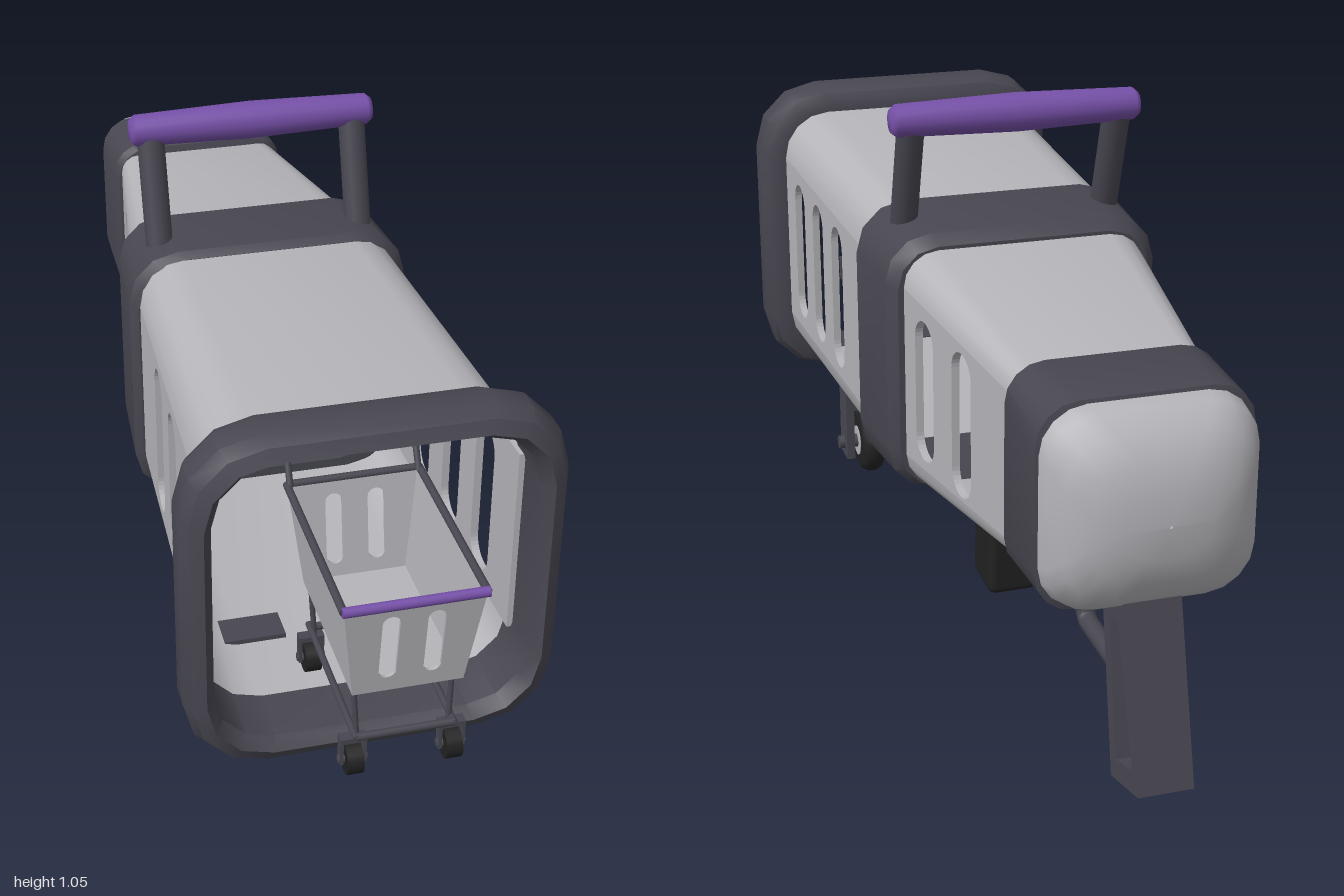
import * as THREE from 'three';
import { toCreasedNormals } from 'three/addons/utils/BufferGeometryUtils.js';
import { RoundedBoxGeometry } from 'three/addons/geometries/RoundedBoxGeometry.js';

const material = (name, color, side = THREE.FrontSide) => {
  const m = new THREE.MeshStandardMaterial({ color, side });
  m.name = name;
  return m;
};

export function createModel() {
  const model = new THREE.Group();
  model.name = 'cartLauncher';
  const light = material('lightGrey', 0xb5b5ba, THREE.DoubleSide);
  const dark = material('darkGrey', 0x484751, THREE.DoubleSide);
  const black = material('black', 0x222222);
  const purple = material('purple', 0x7650a8);

  const add = (name, geometry, mat, parent = model) => {
    const mesh = new THREE.Mesh(geometry, mat);
    mesh.name = name;
    parent.add(mesh);
    return mesh;
  };

  const box = (name, w, h, d, x, y, z, mat, parent) => {
    const m = add(name, new THREE.BoxGeometry(w, h, d), mat, parent);
    m.position.set(x, y, z);
    return m;
  };

  // Round bar between two points
  const rod = (name, a, b, r, mat, parent, sides = 12) => {
    const from = new THREE.Vector3(...a), to = new THREE.Vector3(...b);
    const dir = to.clone().sub(from);
    const m = add(name, new THREE.CylinderGeometry(r, r, dir.length(), sides), mat, parent);
    m.position.copy(from).add(to).multiplyScalar(0.5);
    m.quaternion.setFromUnitVectors(new THREE.Vector3(0, 1, 0), dir.normalize());
    return m;
  };

  // Rounded rectangle sections [z, halfWidth, bottom, top, radius], joined front to back
  const loft = (sections, { n = 4, wrap = false, openSides = false, crease = 0.6 } = {}) => {
    const pos = [], index = [], ring = 4 * (n + 1);
    for (const [z, hw, y0, y1, r] of sections) {
      for (let k = 0; k < 4; k++) {
        const cx = (k === 0 || k === 3 ? 1 : -1) * (hw - r);
        const cy = k < 2 ? y1 - r : y0 + r;
        for (let i = 0; i <= n; i++) {
          const a = (k + i / n) * Math.PI / 2;
          pos.push(cx + r * Math.cos(a), cy + r * Math.sin(a), z);
        }
      }
    }
    const count = sections.length;
    for (let i = 0; i < (wrap ? count : count - 1); i++) {
      for (let j = 0; j < ring; j++) {
        if (openSides && (j === 2 * n + 1 || j === ring - 1)) continue;
        const i2 = (i + 1) % count, j2 = (j + 1) % ring;
        const a = i * ring + j, b = i * ring + j2, c = i2 * ring + j2, d = i2 * ring + j;
        index.push(a, d, c, a, c, b);
      }
    }
    const g = new THREE.BufferGeometry();
    g.setAttribute('position', new THREE.Float32BufferAttribute(pos, 3));
    g.setIndex(index);
    return toCreasedNormals(g, crease);
  };

  // Plate with rounded slots [u, v0, v1, width]; place() sets it into space
  const slotted = (corners, slots, thickness, place) => {
    const shape = new THREE.Shape(corners.map(([u, v]) => new THREE.Vector2(u, v)));
    for (const [u, v0, v1, w] of slots) {
      const r = w / 2, hole = new THREE.Path();
      hole.absarc(u, v1 - r, r, 0, Math.PI, false);
      hole.absarc(u, v0 + r, r, Math.PI, Math.PI * 2, false);
      hole.closePath();
      shape.holes.push(hole);
    }
    const g = new THREE.ExtrudeGeometry(shape, { depth: thickness, bevelEnabled: false, curveSegments: 8 });
    const p = g.attributes.position;
    for (let i = 0; i < p.count; i++) p.setXYZ(i, ...place(p.getX(i), p.getY(i), p.getZ(i)));
    g.computeVertexNormals();
    return g;
  };

  // Hollow barrel section: rounded top and bottom, slotted flat sides
  const barrel = (name, f, b, slots) => {
    add(name, loft([f, b], { openSides: true }), light);
    const corners = [[f[0], f[2] + f[4]], [f[0], f[3] - f[4]], [b[0], b[3] - b[4]], [b[0], b[2] + b[4]]];
    for (const s of [1, -1]) {
      add(name + 'Side', slotted(corners, slots, 0.015, (u, v, w) => {
        const t = (u - f[0]) / (b[0] - f[0]);
        return [s * (f[1] + (b[1] - f[1]) * t - 0.015 + w), v, u];
      }), light);
    }
  };
  barrel('frontBarrel', [0.7, 0.287, 0.26, 0.832, 0.1], [-0.03, 0.26, 0.283, 0.808, 0.09],
    [0.55, 0.39, 0.23].map(z => [z, 0.39, 0.7, 0.087]));
  barrel('rearBarrel', [-0.18, 0.243, 0.302, 0.788, 0.07], [-0.7, 0.175, 0.37, 0.718, 0.038],
    [-0.31, -0.48].map(z => [z, 0.4, 0.68, 0.085]));

  // Muzzle rim and middle collar, both hollow
  const rim = (z, d) => [z, 0.337 - d, 0.208 + d, 0.882 - d, 0.14 - d * 0.6];
  add('muzzleRim', loft([rim(0.8, 0.035), rim(0.787, 0.012), rim(0.76, 0), rim(0.71, 0), rim(0.683, 0.012),
    rim(0.67, 0.035), rim(0.67, 0.055), rim(0.775, 0.052)], { n: 3, wrap: true }), dark);
  add('middleCollar', loft([[0.01, 0.265, 0.283, 0.81, 0.1], [-0.005, 0.28, 0.27, 0.822, 0.1],
    [-0.19, 0.268, 0.288, 0.81, 0.09], [-0.215, 0.25, 0.3, 0.79, 0.08],
    [-0.215, 0.236, 0.308, 0.78, 0.075], [0.01, 0.24, 0.302, 0.785, 0.09]], { n: 3, wrap: true }), dark);

  // Black bulkhead closing the barrel
  add('bulkhead', loft([[-0.528, 0.001, 0.544, 0.546, 0.0005], [-0.529, 0.193, 0.352, 0.738, 0.045],
    [-0.535, 0.193, 0.352, 0.738, 0.045], [-0.536, 0.001, 0.544, 0.546, 0.0005]]), black);

  // Rear collar and domed end cap
  add('rearCollar', loft([[-0.68, 0.165, 0.375, 0.72, 0.06], [-0.685, 0.183, 0.36, 0.735, 0.07],
    [-0.7, 0.191, 0.352, 0.742, 0.07], [-0.865, 0.191, 0.36, 0.735, 0.075], [-0.872, 0.17, 0.38, 0.715, 0.07]]), dark);
  add('endCap', loft([[-0.86, 0.186, 0.364, 0.73, 0.08], [-0.9, 0.183, 0.375, 0.724, 0.085],
    [-0.935, 0.162, 0.402, 0.698, 0.085], [-0.962, 0.125, 0.442, 0.655, 0.08],
    [-0.977, 0.075, 0.49, 0.605, 0.055], [-0.981, 0.002, 0.547, 0.551, 0.001]], { crease: 1 }), light);

  // Top carry handle
  const barProfile = [[0, -0.245], [0.022, -0.243], [0.031, -0.232], [0.037, 0], [0.031, 0.232], [0.022, 0.243], [0, 0.245]];
  const bar = add('handleBar', new THREE.LatheGeometry(barProfile.map(p => new THREE.Vector2(...p)), 20), purple);
  bar.rotation.z = Math.PI / 2;
  bar.position.set(0, 1.02, -0.15);
  for (const s of [1, -1]) rod('handlePost', [s * 0.203, 0.78, -0.075], [s * 0.203, 1.01, -0.147], 0.027, dark);

  // Black foregrip under the collar
  const foregrip = add('foregrip', new RoundedBoxGeometry(0.106, 0.3, 0.122, 2, 0.018), black);
  foregrip.position.set(0, 0.155, -0.1);
  foregrip.rotation.x = -0.07;

  // Open-framed rear grip
  const points = list => list.map(([u, v]) => new THREE.Vector2(u, v));
  const gripShape = new THREE.Shape(points([[-0.805, 0.37], [-0.915, 0.385], [-0.999, 0.066], [-0.87, 0.03]]));
  gripShape.holes.push(new THREE.Path(points([[-0.845, 0.322], [-0.885, 0.335], [-0.968, 0.1], [-0.892, 0.075]])));
  const grip = add('rearGrip', new THREE.ExtrudeGeometry(gripShape, { depth: 0.1, bevelEnabled: false }), dark);
  grip.rotation.y = -Math.PI / 2;
  grip.position.x = 0.05;

  // Trigger guard and trigger
  const guard = new THREE.CurvePath();
  const v3 = (y, z) => new THREE.Vector3(0, y, z);
  guard.add(new THREE.LineCurve3(v3(0.38, -0.585), v3(0.205, -0.585)));
  guard.add(new THREE.QuadraticBezierCurve3(v3(0.205, -0.585), v3(0.178, -0.585), v3(0.178, -0.615)));
  guard.add(new THREE.LineCurve3(v3(0.178, -0.615), v3(0.178, -0.86)));
  add('triggerGuard', new THREE.TubeGeometry(guard, 40, 0.018, 10), dark);
  box('trigger', 0.03, 0.13, 0.02, 0, 0.325, -0.685, light);

  // Road wheels in forks
  const tyreProfile = [[0, -0.026], [0.055, -0.026], [0.067, -0.02], [0.073, -0.009],
    [0.073, 0.009], [0.067, 0.02], [0.055, 0.026], [0, 0.026]];
  for (const s of [1, -1]) {
    const caster = new THREE.Group();
    caster.name = 'wheelAssembly';
    caster.position.set(s * 0.152, 0, 0.488);
    model.add(caster);
    const tyre = add('tyre', new THREE.LatheGeometry(points(tyreProfile), 28), black, caster);
    tyre.rotation.z = Math.PI / 2;
    tyre.position.y = 0.098;
    rod('hub', [-0.028, 0.098, 0], [0.028, 0.098, 0], 0.034, light, caster, 20);
    rod('axle', [-0.07, 0.098, 0], [0.07, 0.098, 0], 0.015, dark, caster);
    box('forkTop', 0.116, 0.09, 0.066, 0, 0.23, 0, dark, caster);
    for (const e of [1, -1]) box('forkLeg', 0.018, 0.125, 0.066, e * 0.049, 0.13, 0, dark, caster);
  }

  // Shopping cart in the muzzle
  const cart = new THREE.Group();
  cart.name = 'shoppingCart';
  model.add(cart);
  const Y0 = 0.49, Y1 = 0.68;
  const level = y => (y - Y0) / (Y1 - Y0);
  const halfWidth = y => 0.095 + 0.024 * level(y);
  for (const s of [1, -1]) {
    add('basketSide', slotted([[0.65, Y0], [0.965, Y0], [0.988, Y1], [0.62, Y1]],
      [0.905, 0.845, 0.785, 0.725].map(z => [z, 0.505, 0.645, 0.034]), 0.006,
      (u, v, w) => [s * (halfWidth(v) - w), v, u]), light, cart);
    const endZ = y => s > 0 ? 0.965 + 0.023 * level(y) : 0.65 - 0.03 * level(y);
    add(s > 0 ? 'basketFront' : 'basketBack', slotted([[-0.095, Y0], [0.095, Y0], [0.119, Y1], [-0.119, Y1]],
      [-0.038, 0.038].map(x => [x, 0.52, 0.655, 0.03]), 0.006,
      (u, v, w) => [u, v, endZ(v) - s * w]), light, cart);
    // Rim, handle arms and undercarriage
    rod('basketRim', [s * 0.119, Y1, 0.988], [s * 0.119, Y1, 0.62], 0.007, dark, cart);
    rod('cartHandleArm', [s * 0.115, Y1, 0.63], [s * 0.115, 0.732, 0.6], 0.006, dark, cart);
    rod('sideRail', [s * 0.085, 0.395, 0.965], [s * 0.085, 0.395, 0.65], 0.006, dark, cart);
    for (const z of [0.945, 0.67]) {
      rod('strut', [s * 0.085, Y0, z - 0.008], [s * 0.08, 0.39, z], 0.005, dark, cart);
      rod('casterWheel', [s * 0.086 - 0.014, 0.34, z], [s * 0.086 + 0.014, 0.34, z], 0.029, black, cart, 16);
      rod('casterAxle', [s * 0.086 - 0.025, 0.34, z], [s * 0.086 + 0.025, 0.34, z], 0.008, dark, cart);
      box('casterTop', 0.046, 0.01, 0.02, s * 0.086, 0.382, z, dark, cart);
      for (const e of [1, -1]) box('casterFork', 0.006, 0.052, 0.016, s * 0.086 + e * 0.02, 0.358, z, dark, cart);
    }
  }
  box('basketFloor', 0.19, 0.006, 0.315, 0, Y0 + 0.003, 0.8075, light, cart);
  rod('frontRim', [-0.122, Y1, 0.988], [0.122, Y1, 0.988], 0.009, purple, cart);
  rod('backRim', [-0.119, Y1, 0.62], [0.119, Y1, 0.62], 0.007, dark, cart);
  rod('cartHandle', [-0.122, 0.732, 0.6], [0.122, 0.732, 0.6], 0.01, purple, cart);
  for (const z of [0.96, 0.66]) rod('crossRail', [-0.085, 0.395, z], [0.085, 0.395, z], 0.007, dark, cart);

  return model;
}
